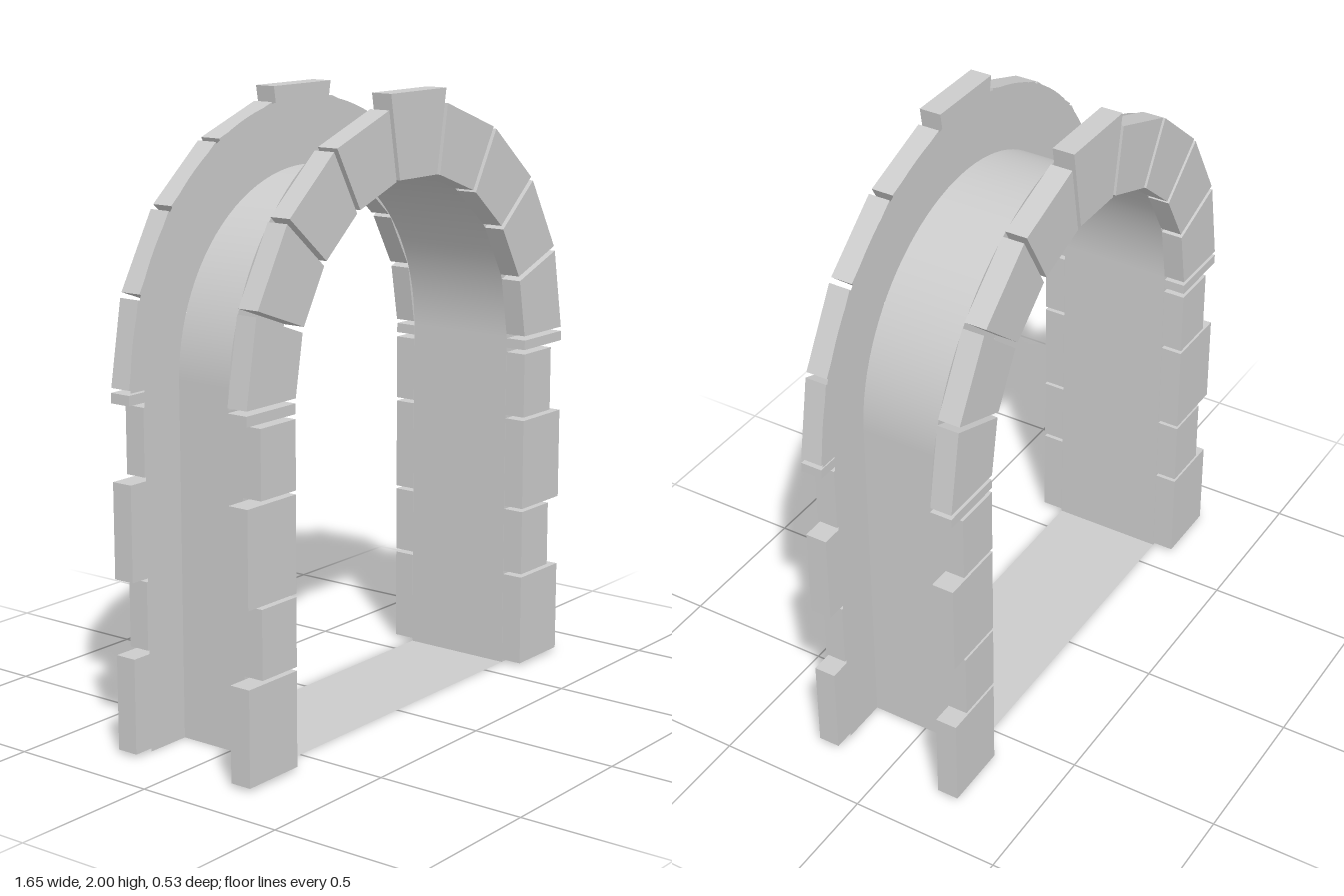
import * as THREE from 'three';

const R_IN = 0.605, R_OUT = 0.827; // arch radii
const SPRING = 1.14;               // height where the arch begins
const Z_IN = 0.19, Z_OUT = 0.263;  // depth range of the stone facings
const GAP = 0.009;                 // half the joint between arch stones

const stoneMat = new THREE.MeshStandardMaterial({ color: 0xcccccc, flatShading: true });
const wallMat = new THREE.MeshStandardMaterial({ color: 0xcccccc, side: THREE.DoubleSide });

function add(parent, name, geometry, material) {
  const mesh = new THREE.Mesh(geometry, material);
  mesh.name = name;
  parent.add(mesh);
  return mesh;
}

// Flat outline pushed out to the thickness of the facing
function slab(points) {
  const shape = new THREE.Shape(points.map(([x, y]) => new THREE.Vector2(x, y)));
  const depth = Z_OUT - Z_IN - 0.001;
  return new THREE.ExtrudeGeometry(shape, { depth, bevelEnabled: false }).translate(0, 0, Z_IN + 0.001);
}

// Wedge stone around the upright direction, with parallel-sided joints
function wedge(halfAngle, topY) {
  const s = Math.sin(halfAngle), c = Math.cos(halfAngle);
  const inX = R_IN * s - GAP * c, inY = R_IN * c;
  const outY = topY ?? R_OUT * c;
  const outX = inX + (outY - inY) * s / c;
  return slab([[-inX, inY], [inX, inY], [outX, outY], [-outX, outY]]);
}

// One complete stone facing on the front side
function createFacing() {
  const facing = new THREE.Group();

  // Arch stones, with a taller keystone in the middle
  const step = Math.PI / 9;
  for (let i = -4; i <= 4; i++) {
    const geometry = wedge(step / 2, i === 0 ? 2 - SPRING : undefined);
    const stone = add(facing, i === 0 ? 'keystone' : 'archStone', geometry, stoneMat);
    stone.position.y = SPRING;
    stone.rotation.z = -i * step;
  }

  // Side stones: bottom, top, outer edge
  const courses = [
    ['wideJambStone', 0.01, 0.315, 0.827],
    ['narrowJambStone', 0.327, 0.545, 0.765],
    ['wideJambStone', 0.556, 0.86, 0.827],
    ['narrowJambStone', 0.872, 1.087, 0.765],
    ['impostStone', 1.102, 1.134, 0.827],
  ];
  for (const side of [-1, 1]) {
    for (const [name, y0, y1, x1] of courses) {
      const box = new THREE.BoxGeometry(x1 - R_IN, y1 - y0, Z_OUT - Z_IN - 0.001);
      const stone = add(facing, name, box, stoneMat);
      stone.position.set(side * (x1 + R_IN) / 2, (y0 + y1) / 2, (Z_OUT + Z_IN + 0.001) / 2);
    }
  }

  // Thin sheet behind the stones, closing the joints
  const backing = new THREE.Shape();
  backing.moveTo(0.76, 0);
  backing.lineTo(0.76, SPRING);
  backing.lineTo(0.82, SPRING);
  backing.absarc(0, SPRING, 0.82, 0, Math.PI, false);
  backing.lineTo(-0.76, SPRING);
  backing.lineTo(-0.76, 0);
  backing.lineTo(-R_IN, 0);
  backing.lineTo(-R_IN, SPRING);
  backing.absarc(0, SPRING, R_IN, Math.PI, 0, true);
  backing.lineTo(R_IN, 0);
  add(facing, 'jointBacking', new THREE.ShapeGeometry(backing, 32), wallMat).position.z = Z_IN;
  return facing;
}

export function createModel() {
  const model = new THREE.Group();
  model.name = 'stoneArchway';

  // Matching facings at front and back
  const front = createFacing();
  front.name = 'frontFacing';
  const back = createFacing();
  back.name = 'backFacing';
  back.rotation.y = Math.PI;
  model.add(front, back);

  // Smooth passage lining: vault and two upright walls
  const vault = new THREE.CylinderGeometry(R_IN, R_IN, 2 * Z_IN, 48, 1, true, Math.PI / 2, Math.PI);
  add(model, 'vaultLining', vault.rotateX(Math.PI / 2), wallMat).position.y = SPRING;
  for (const side of [-1, 1]) {
    const wall = new THREE.PlaneGeometry(2 * Z_IN, SPRING).rotateY(-side * Math.PI / 2);
    add(model, 'wallLining', wall, wallMat).position.set(side * R_IN, SPRING / 2, 0);
  }

  // Threshold across the floor
  add(model, 'threshold', new THREE.PlaneGeometry(2 * R_IN, 2 * Z_IN).rotateX(-Math.PI / 2), wallMat);
  return model;
}
